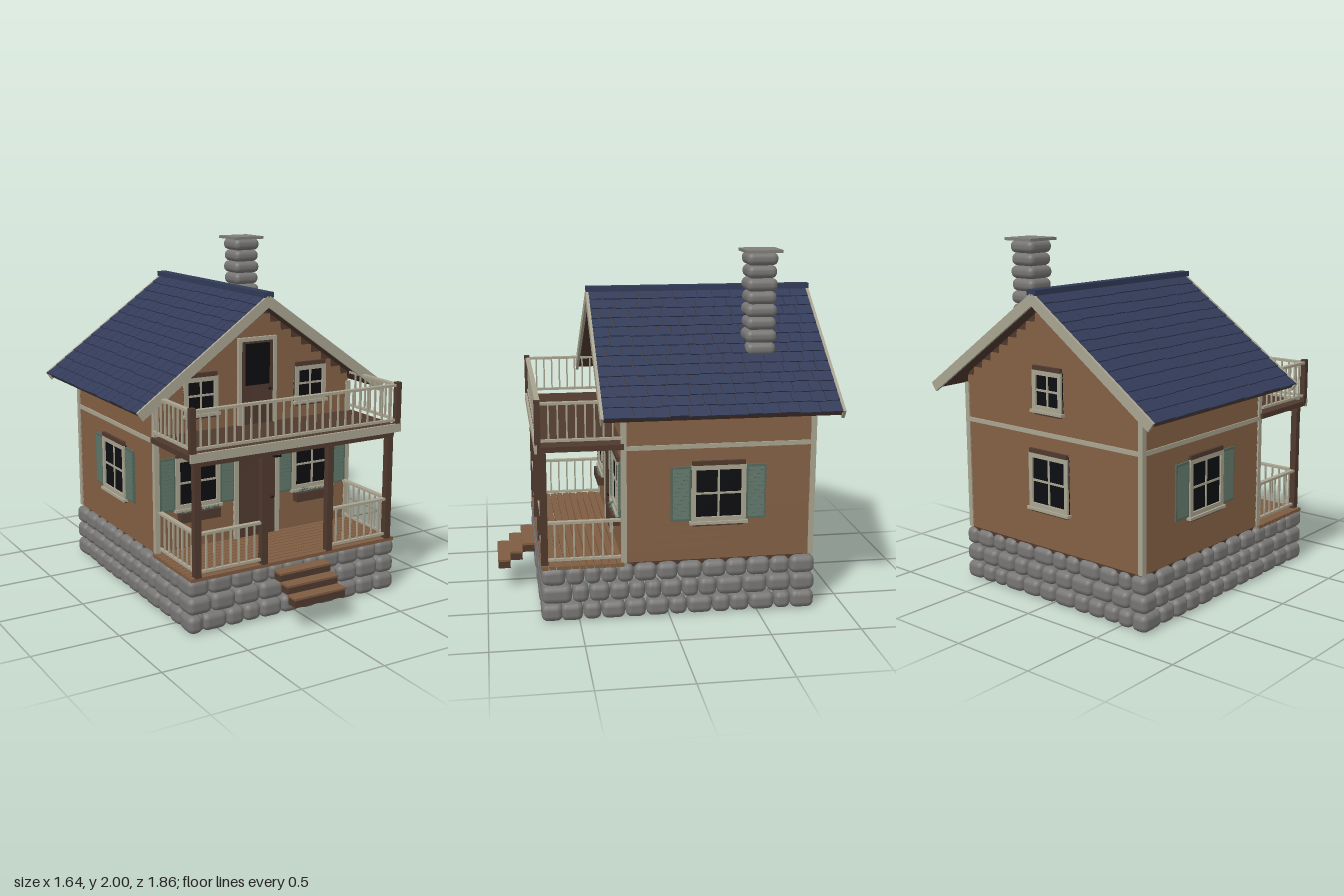
import * as THREE from 'three';
import { mergeGeometries } from 'three/addons/utils/BufferGeometryUtils.js';
import { RoundedBoxGeometry } from 'three/addons/geometries/RoundedBoxGeometry.js';

const material = (name, color) => {
  const m = new THREE.MeshStandardMaterial({ color });
  m.name = name;
  return m;
};

export function createModel() {
  const siding = material('siding brown', 0x7e5c41);
  const wood = material('dark wood', 0x4f392e);
  const trim = material('cream trim', 0xa9a490);
  const slate = material('navy shingle', 0x323b58);
  const stone = material('grey stone', 0x777674);
  const capGrey = material('chimney cap grey', 0x7f7d79);
  const glass = material('dark glass', 0x0d0e11);
  const green = material('shutter green', 0x54695d);

  const house = new THREE.Group();
  house.name = 'house';
  let seed = 7;
  const rand = (a, b) => {
    seed = (seed * 16807) % 2147483647;
    return a + (b - a) * (seed / 2147483647);
  };

  // Helpers: positioned box geometry, merged mesh, named box, named group
  const bg = (w, h, d, x, y, z, rx = 0, rz = 0) =>
    new THREE.BoxGeometry(w, h, d).rotateX(rx).rotateZ(rz).translate(x, y, z);
  const merged = (parent, name, mat, geos) => {
    const m = new THREE.Mesh(mergeGeometries(geos), mat);
    m.name = name;
    parent.add(m);
  };
  const box = (parent, name, mat, ...dims) => merged(parent, name, mat, [bg(...dims)]);
  const group = (name, x, y, z, ry = 0, parent = house) => {
    const g = new THREE.Group();
    g.name = name;
    g.position.set(x, y, z);
    g.rotation.y = ry;
    parent.add(g);
    return g;
  };
  const FLOOR = 0.32, FRONT = 0.245, BACK = -0.8, SIDE = 0.64, MID = (FRONT + BACK) / 2;

  // Stone foundation: three courses around the four sides
  const stones = [];
  for (let row = 0; row < 3; row++) {
    const y = 0.053 + row * 0.104;
    const course = (length, place) => {
      const widths = [];
      for (let sum = 0; sum < length - 0.05;) {
        const w = rand(0.09, 0.155);
        widths.push(w);
        sum += w;
      }
      const scale = length / widths.reduce((a, b) => a + b);
      let at = -length / 2;
      for (const w0 of widths) {
        const w = w0 * scale;
        const g = new RoundedBoxGeometry(w - 0.003, rand(0.097, 0.104), rand(0.11, 0.12), 2, 0.035);
        stones.push(place(g.translate(at + w / 2, y, 0)));
        at += w;
      }
    };
    course(1.37, g => g.translate(0, 0, 0.65));
    course(1.37, g => g.translate(0, 0, -0.77));
    for (const s of [-1, 1]) course(1.5, g => g.rotateY(Math.PI / 2).translate(s * 0.625, 0, -0.06));
  }
  merged(house, 'foundationStones', stone, stones);

  // Floors
  box(house, 'houseFloor', wood, 1.28, 0.03, 1.05, 0, 0.305, MID);
  const planks = [];
  for (let i = 0; i < 11; i++) planks.push(bg(1.34, 0.02, 0.037, 0, 0.313, 0.27 + i * 0.0415));
  merged(house, 'porchFloorPlanks', siding, planks);

  // House core with gables
  const outline = new THREE.Shape([[-SIDE, FLOOR], [SIDE, FLOOR], [SIDE, 1.238], [0, 1.69], [-SIDE, 1.238]]
    .map(p => new THREE.Vector2(...p)));
  const core = new THREE.Mesh(
    new THREE.ExtrudeGeometry(outline, { depth: FRONT - BACK, bevelEnabled: false }).translate(0, 0, BACK), wood);
  core.name = 'houseCore';
  house.add(core);

  // Lapped siding; gable boards shorten in steps under the roof
  const lapWall = (name, halfWidth, rows, x, z, ry) => {
    const boards = [];
    for (let i = 0; i < rows; i++) {
      const half = Math.min(halfWidth, (1.685 - (FLOOR + 0.05 * (i + 1))) / 0.705);
      if (half > 0.02) boards.push(bg(half * 2, 0.056, 0.008, 0, FLOOR + 0.05 * i + 0.027, 0.005, -0.12));
    }
    merged(group(name, x, 0, z, ry), 'sidingBoards', siding, boards);
  };
  lapWall('frontWall', SIDE, 27, 0, FRONT, 0);
  lapWall('backWall', SIDE, 27, 0, BACK, Math.PI);
  for (const s of [-1, 1]) lapWall('sideWall', 0.522, 18, s * SIDE, MID, s * Math.PI / 2);

  // Corner boards and band boards
  for (const s of [-1, 1]) {
    for (const z of [FRONT + 0.005, BACK - 0.002])
      box(house, 'cornerBoard', trim, 0.03, 0.86, 0.03, s * 0.644, 0.75, z);
    box(house, 'sideBand', trim, 0.02, 0.025, 1.045, s * 0.648, 0.968, MID);
  }
  box(house, 'backBand', trim, 1.29, 0.025, 0.02, 0, 0.968, BACK - 0.008);

  // Windows, built facing +z
  const addWindow = (name, x, y, z, ry, w, h, shutterWidth = 0, flowers = false) => {
    const g = group(name, x, y, z, ry);
    box(g, 'pane', glass, w, h, 0.008, 0, 0, 0.013);
    const t = 0.026;
    merged(g, 'frame', trim, [
      bg(t, h, 0.02, -w / 2 + t / 2, 0, 0.018), bg(t, h, 0.02, w / 2 - t / 2, 0, 0.018),
      bg(w, t, 0.02, 0, h / 2 - t / 2, 0.018), bg(w, t, 0.02, 0, -h / 2 + t / 2, 0.018),
      bg(0.012, h, 0.012, 0, 0, 0.016), bg(w, 0.012, 0.012, 0, 0, 0.016),
      bg(w + 0.02, 0.016, 0.038, 0, -h / 2 - 0.006, 0.02)]);
    box(g, 'headBoard', wood, w - 0.01, 0.024, 0.028, 0, h / 2 + 0.012, 0.014);
    box(g, 'apron', wood, w - 0.02, 0.014, 0.02, 0, -h / 2 - 0.02, 0.012);
    if (shutterWidth) for (const s of [-1, 1]) {
      const cx = s * (w / 2 + shutterWidth / 2);
      const slats = [bg(shutterWidth - 0.003, 0.31, 0.01, cx, 0, 0.015)];
      for (let i = 0; i < 13; i++)
        slats.push(bg(shutterWidth - 0.025, 0.02, 0.005, cx, -0.132 + i * 0.022, 0.021, -0.35));
      merged(g, 'shutter', green, slats);
    }
    if (flowers) {
      box(g, 'flowerBox', wood, 0.255, 0.055, 0.045, 0, -h / 2 - 0.045, 0.035);
      const leaves = [];
      for (let i = 0; i < 12; i++)
        leaves.push(new THREE.IcosahedronGeometry(rand(0.008, 0.013), 0)
          .translate(-0.11 + i * 0.02, -h / 2 - rand(0.002, 0.016), rand(0.03, 0.045)));
      merged(g, 'plants', green, leaves);
    }
  };
  for (const s of [-1, 1]) {
    addWindow('frontWindow', s * 0.388, 0.71, FRONT, 0, 0.285, 0.3, 0.1, true);
    addWindow('upperFrontWindow', s * 0.365, 1.2, FRONT, 0, 0.215, 0.21);
    addWindow('sideWindow', s * SIDE, 0.7, -0.272, s * Math.PI / 2, 0.305, 0.32, 0.115);
  }
  addWindow('backWindow', 0, 0.7, BACK, Math.PI, 0.29, 0.31);
  addWindow('upperBackWindow', 0, 1.21, BACK, Math.PI, 0.215, 0.22);

  // Plank doors with trim
  const addDoor = (name, y, w, h, t) => {
    const g = group(name, 0, y, FRONT);
    const boards = [];
    for (let i = 0; i < 5; i++) boards.push(bg(w / 5 - 0.003, h, 0.012, (i - 2) * w / 5, h / 2, 0.018));
    merged(g, 'doorPlanks', wood, boards);
    box(g, 'doorGaps', glass, w, h, 0.006, 0, h / 2, 0.013);
    merged(g, 'doorTrim', trim, [
      ...[-1, 1].map(s => bg(t, h + t, 0.026, s * (w + t) / 2, (h + t) / 2, 0.017)),
      bg(w, t, 0.026, 0, h + t / 2, 0.017)]);
    const knob = new THREE.Mesh(new THREE.SphereGeometry(0.009, 10, 8), glass);
    knob.name = 'doorKnob';
    knob.position.set(w / 2 - 0.025, h * 0.42, 0.03);
    g.add(knob);
    return g;
  };
  addDoor('frontDoor', FLOOR, 0.25, 0.53, 0.027);
  const balconyDoor = addDoor('balconyDoor', 0.995, 0.21, 0.483, 0.022);
  box(balconyDoor, 'doorPane', glass, 0.16, 0.24, 0.006, 0, 0.35, 0.024);

  // Roof slopes with shingles and barge boards, ridge and fascia
  const ANGLE = 0.614, ROOF_Z = -0.27;
  for (const ry of [0, Math.PI]) {
    const g = group('roofSlope', 0, 1.735, ROOF_Z, ry);
    g.rotation.z = -ANGLE;
    box(g, 'roofDeck', wood, 0.98, 0.03, 1.285, 0.49, -0.015, 0);
    const shingles = [];
    for (let row = 0; row < 13; row++) {
      for (let z = -0.643; z < 0.64;) {
        let w = rand(0.065, 0.13);
        if (z + w > 0.6) w = 0.643 - z;
        const len = rand(0.078, 0.086);
        shingles.push(bg(len, 0.009, w - 0.005, row * 0.0757 + len / 2, 0.007, z + w / 2, 0, 0.08));
        z += w;
      }
    }
    merged(g, 'shingles', slate, shingles);
    for (const s of [-1, 1]) box(g, 'bargeBoard', trim, 0.99, 0.057, 0.016, 0.495, -0.0165, s * 0.65);
  }
  box(house, 'ridgeCap', slate, 0.06, 0.03, 1.315, 0, 1.75, ROOF_Z);

  // Chimney
  const blocks = [];
  for (let i = 0; i < 9; i++) {
    const w = i % 2 ? 0.168 : 0.176;
    blocks.push(new RoundedBoxGeometry(w, 0.071, w, 4, 0.032).translate(0.375, 1.95 - i * 0.071, -0.545));
  }
  merged(house, 'chimneyStones', stone, blocks);
  box(house, 'chimneyCap', capGrey, 0.205, 0.016, 0.205, 0.375, 1.992, -0.548);

  // Porch posts, balcony deck and its front board
  for (const x of [-0.627, -0.215, 0.215, 0.627])
    box(house, 'porchPost', wood, 0.038, 0.63, 0.038, x, 0.635, 0.685);
  box(house, 'porchBeam', wood, 1.3, 0.035, 0.036, 0, 0.948, 0.685);
  box(house, 'balconyDeck', wood, 1.35, 0.03, 0.465, 0, 0.982, 0.483);
  box(house, 'balconyFascia', trim, 1.36, 0.048, 0.014, 0, 0.986, 0.721);

  // Railings between two ground points
  const railing = (name, x1, z1, x2, z2, low, high) => {
    const length = Math.hypot(x2 - x1, z2 - z1);
    const g = group(name, (x1 + x2) / 2, 0, (z1 + z2) / 2, -Math.atan2(z2 - z1, x2 - x1));
    const parts = [bg(length, 0.014, 0.028, 0, high, 0), bg(length, 0.014, 0.018, 0, low, 0)];
    const n = Math.round(length / 0.051);
    for (let i = 1; i < n; i++)
      parts.push(bg(0.009, high - low, 0.009, -length / 2 + length * i / n, (low + high) / 2, 0));
    merged(g, 'railsAndBalusters', trim, parts);
  };
  railing('balconyFrontRailing', -0.66, 0.705, 0.66, 0.705, 1.03, 1.232);
  for (const s of [-1, 1]) {
    box(house, 'balconyPost', wood, 0.032, 0.27, 0.032, s * 0.662, 1.115, 0.71);
    railing('balconySideRailing', s * 0.662, 0.7, s * 0.662, 0.26, 1.03, 1.232);
    railing('porchFrontRailing', s * 0.22, 0.685, s * 0.62, 0.685, 0.348, 0.56);
    railing('porchSideRailing', s * 0.627, 0.68, s * 0.627, 0.26, 0.348, 0.56);
  }

  // Front steps with lighter treads
  for (let i = 0; i < 3; i++) {
    const y = 0.28 - i * 0.048, z = 0.755 + i * 0.0715;
    box(house, 'stepBlock', wood, 0.325, 0.046, 0.07, 0, y - 0.025, z);
    box(house, 'stepTread', siding, 0.335, 0.012, 0.075, 0, y, z);
  }

  // Hanging lantern
  const lantern = group('lantern', 0, 0.885, 0.48);
  box(lantern, 'lamp', siding, 0.024, 0.05, 0.024, 0, 0, 0);
  const frame = [bg(0.04, 0.009, 0.04, 0, 0.03, 0), bg(0.04, 0.009, 0.04, 0, -0.03, 0), bg(0.005, 0.05, 0.005, 0, 0.058, 0)];
  for (const x of [-1, 1]) for (const z of [-1, 1]) frame.push(bg(0.007, 0.06, 0.007, x * 0.016, 0, z * 0.016));
  merged(lantern, 'lanternFrame', glass, frame);

  return house;
}
